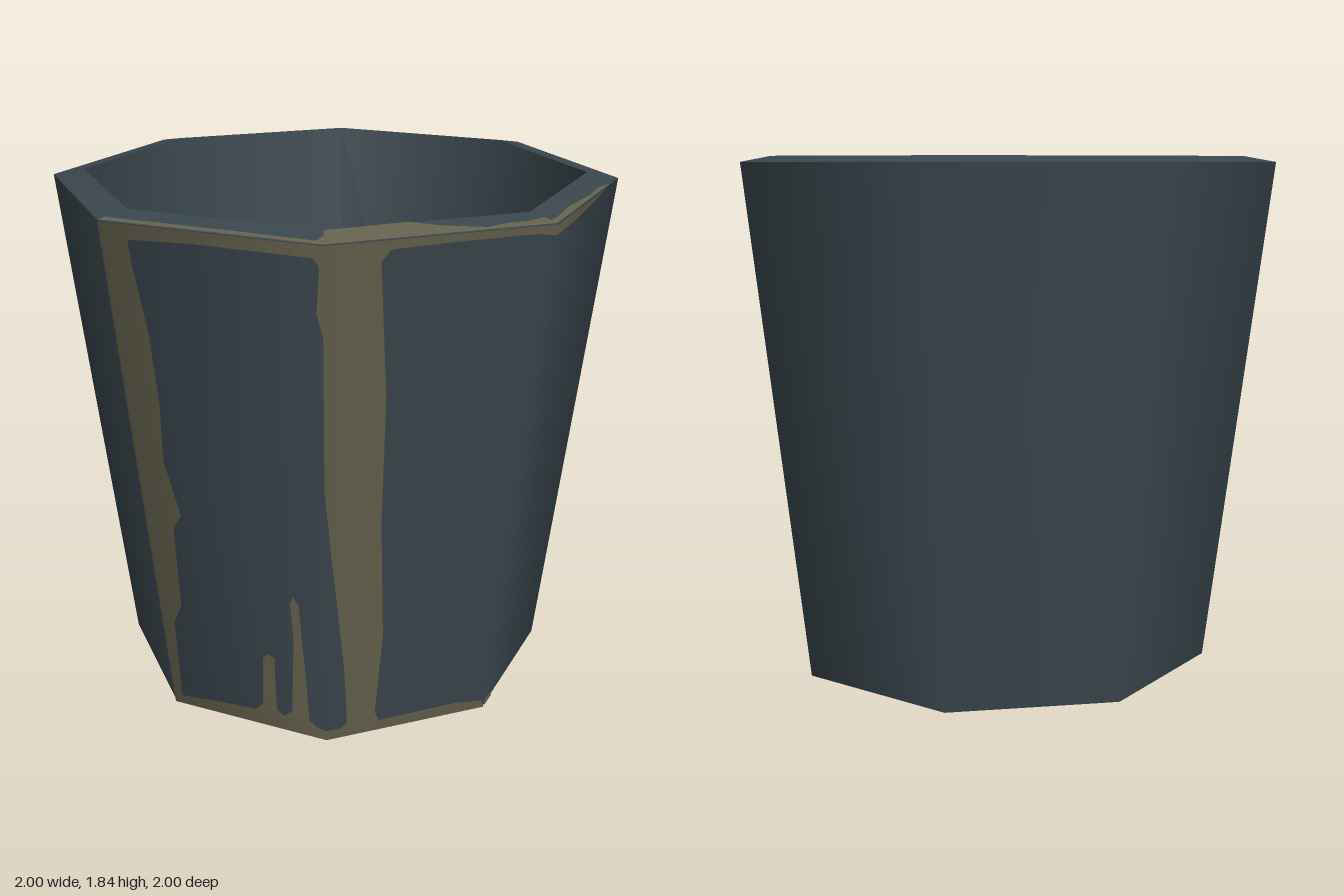
import * as THREE from 'three';

const SIDES = 8;
const K = Math.tan(Math.PI / 8);
const TOP = 1.815, LIP = 1.835, R_TOP = 1, R_BASE = 0.785, R_LIP = 0.89;
const LIFT = 0.004; // how far the stains sit off the surface

const slate = new THREE.MeshStandardMaterial({ color: 0x3a474e });
slate.name = 'dark slate';
const grime = new THREE.MeshStandardMaterial({ color: 0x66624f });
grime.name = 'dull khaki';

// Corner radius of the octagonal wall at a height
const wallRadius = (y) => R_BASE + (R_TOP - R_BASE) * y / TOP;

// One eight-sided band, smooth around, with hard edges to its neighbours
function band(name, from, to) {
  const points = [from, to].map(([r, y]) => new THREE.Vector2(r, y));
  const mesh = new THREE.Mesh(new THREE.LatheGeometry(points, SIDES), slate);
  mesh.name = name;
  return mesh;
}

// Flat outline laid over the body by a rule that moves each vertex
function stain(name, outline, place) {
  const shape = new THREE.Shape(outline.map(([x, y]) => new THREE.Vector2(x, y)));
  const geometry = new THREE.ShapeGeometry(shape);
  const pos = geometry.attributes.position, nor = geometry.attributes.normal;
  for (let i = 0; i < pos.count; i++) {
    const { p, n } = place(pos.getX(i), pos.getY(i));
    n.normalize();
    p.addScaledVector(n, LIFT);
    pos.setXYZ(i, p.x, p.y, p.z);
    nor.setXYZ(i, n.x, n.y, n.z);
  }
  const mesh = new THREE.Mesh(geometry, grime);
  mesh.name = name;
  return mesh;
}

// Outline given as (x, y), seen from the front
function onWall(x, y) {
  const r = wallRadius(y), a = Math.abs(x);
  const z = a <= r * Math.SQRT1_2 + 0.001 ? r - a * K : (r - a) / K;
  return { p: new THREE.Vector3(x, y, z), n: new THREE.Vector3(x, -0.119 * r, z) };
}

// Outline given as (x, -z), seen from above
function onRim(x, v) {
  const a = Math.abs(x), z = -v;
  const r = Math.max(z + a * K, a + z * K);
  const y = LIP - (LIP - TOP) * (r - R_LIP) / (R_TOP - R_LIP);
  return { p: new THREE.Vector3(x, y, z), n: new THREE.Vector3(x * 0.18, 1, z * 0.18) };
}

export function createModel() {
  const group = new THREE.Group();
  group.name = 'bucket';

  // Body
  group.add(
    band('underside', [0, 0], [R_BASE, 0]),
    band('outerWall', [R_BASE, 0], [R_TOP, TOP]),
    band('rim', [R_TOP, TOP], [R_LIP, LIP]),
    band('innerWall', [R_LIP, LIP], [0.67, 0.06]),
    band('innerFloor', [0.67, 0.06], [0, 0.06]),
  );

  // Stains on the front walls: streaks, drips and edge bands
  group.add(
    stain('frontRightStain', [
      [-0.707, TOP], [-0.555, 0], [0, 0], [0, 0.04], [-0.03, 0.045], [-0.06, 0.07],
      [-0.07, 0.25], [-0.08, 0.37], [-0.09, 0.54], [-0.11, 0.57], [-0.12, 0.54],
      [-0.11, 0.4], [-0.12, 0.09], [-0.15, 0.06], [-0.175, 0.08], [-0.18, 0.3],
      [-0.2, 0.31], [-0.22, 0.29], [-0.225, 0.09], [-0.25, 0.06], [-0.38, 0.05],
      [-0.53, 0.035], [-0.53, 0.1], [-0.54, 0.35], [-0.51, 0.43], [-0.52, 0.75],
      [-0.49, 0.8], [-0.54, 1], [-0.54, 1.2], [-0.56, 1.45], [-0.6, 1.68],
      [-0.61, 1.765], [-0.4, 1.775], [-0.03, 1.775], [-0.01, 1.75], [-0.02, 1.6],
      [0, 1.53], [0, TOP],
    ], onWall),
    stain('frontLeftStain', [
      [0, 0], [0.555, 0], [0.55, 0.03], [0.45, 0.045], [0.18, 0.04], [0.165, 0.08],
      [0.19, 0.4], [0.18, 0.85], [0.19, 1.3], [0.17, 1.75], [0.2, 1.785],
      [0.4, 1.79], [0.65, 1.79], [0.705, 1.78], [0.707, TOP], [0, TOP], [0, 1],
      [0.02, 0.75], [0.06, 0.3], [0.07, 0.06], [0.05, 0.04], [0, 0.04],
    ], onWall),
    stain('sideTopStain', [
      [0.705, 1.78], [0.78, 1.782], [0.88, 1.8], [0.94, TOP], [0.708, TOP],
    ], onWall),
    stain('sideBaseStain', [[0.557, 0], [0.59, 0], [0.575, 0.03], [0.559, 0.035]], onWall),
  );

  // Stains on the rim
  group.add(
    stain('rimFrontStain', [
      [0, -0.9], [0, -1], [0.707, -0.707], [0.67, -0.67], [0.62, -0.71], [0.55, -0.74],
      [0.49, -0.78], [0.35, -0.797], [0.25, -0.79],
    ], onRim),
    stain('rimSideStain', [
      [0.707, -0.707], [0.98, -0.05], [0.95, -0.12], [0.9, -0.2], [0.86, -0.31],
      [0.77, -0.49], [0.71, -0.65], [0.69, -0.69],
    ], onRim),
    stain('rimEdgeStain', [
      [-0.707, -0.707], [0, -1], [0, -0.94], [-0.02, -0.97], [-0.3, -0.85], [-0.69, -0.69],
    ], onRim),
  );

  return group;
}
